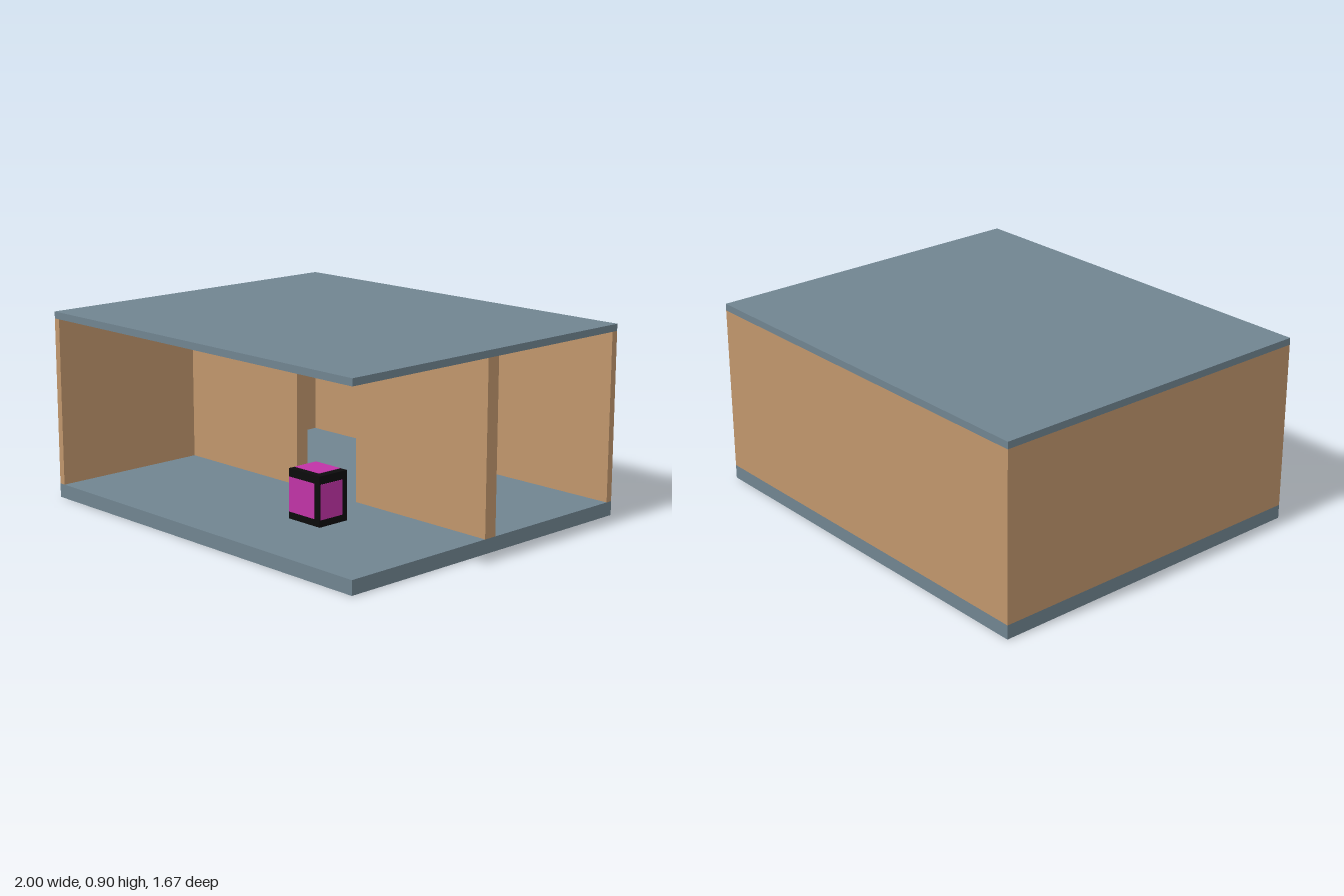
import * as THREE from 'three';

const material = (name, color) => {
  const m = new THREE.MeshStandardMaterial({ color });
  m.name = name;
  return m;
};

export function createModel() {
  const slate = material('slate', 0x708490);
  const wood = material('wood', 0xc0966c);
  const black = material('black', 0x0c0b0c);
  const magenta = material('magenta', 0xc033a6);

  const model = new THREE.Group();
  model.name = 'openHouse';

  // Box given by its low and high limits on each axis
  const box = (parent, name, mat, [x0, x1], [y0, y1], [z0, z1]) => {
    const mesh = new THREE.Mesh(new THREE.BoxGeometry(x1 - x0, y1 - y0, z1 - z0), mat);
    mesh.position.set((x0 + x1) / 2, (y0 + y1) / 2, (z0 + z1) / 2);
    mesh.name = name;
    parent.add(mesh);
  };

  const W = 1, D = 0.833, T = 0.033;
  const floorTop = 0.067, ceiling = 0.867;
  const wallY = [floorTop, ceiling];

  // Floor and roof slabs
  box(model, 'floor', slate, [-W, W], [0, floorTop], [-D, D]);
  box(model, 'roof', slate, [-W, W], [ceiling, 0.9], [-D, D]);

  // Outer walls; the front and the left side stay open
  box(model, 'backWall', wood, [-W, W], wallY, [-D, -D + T]);
  box(model, 'rightWall', wood, [-W, -W + T], wallY, [-D + T, D]);

  // Partition in two halves with a doorway between
  box(model, 'partitionRight', wood, [-W + T, -0.2], wallY, [-T, T]);
  box(model, 'partitionLeft', wood, [0.2, W], wallY, [-T, T]);

  // Black crate with thin coloured panels
  const crate = new THREE.Group();
  crate.name = 'crate';
  model.add(crate);
  const [x0, x1, z0, z1, top] = [0.183, 0.383, 0.267, 0.433, 0.3];
  const e = 0.002, panelY = [0.1, 0.262];
  box(crate, 'crateBody', black, [x0, x1], [floorTop, top], [z0, z1]);
  box(crate, 'frontPanel', magenta, [x0 + 0.002, 0.35], panelY, [z1 - e, z1 + e]);
  box(crate, 'backPanel', magenta, [x0 + 0.002, 0.35], panelY, [z0 - e, z0 + e]);
  box(crate, 'leftPanel', magenta, [x1 - e, x1 + e], panelY, [0.297, z1 - 0.004]);
  box(crate, 'rightPanel', magenta, [x0 - e, x0 + e], panelY, [0.297, z1 - 0.004]);
  box(crate, 'topPanel', magenta, [x0 + 0.004, 0.345], [top - e, top + e], [z0 + 0.004, 0.4]);

  return model;
}
